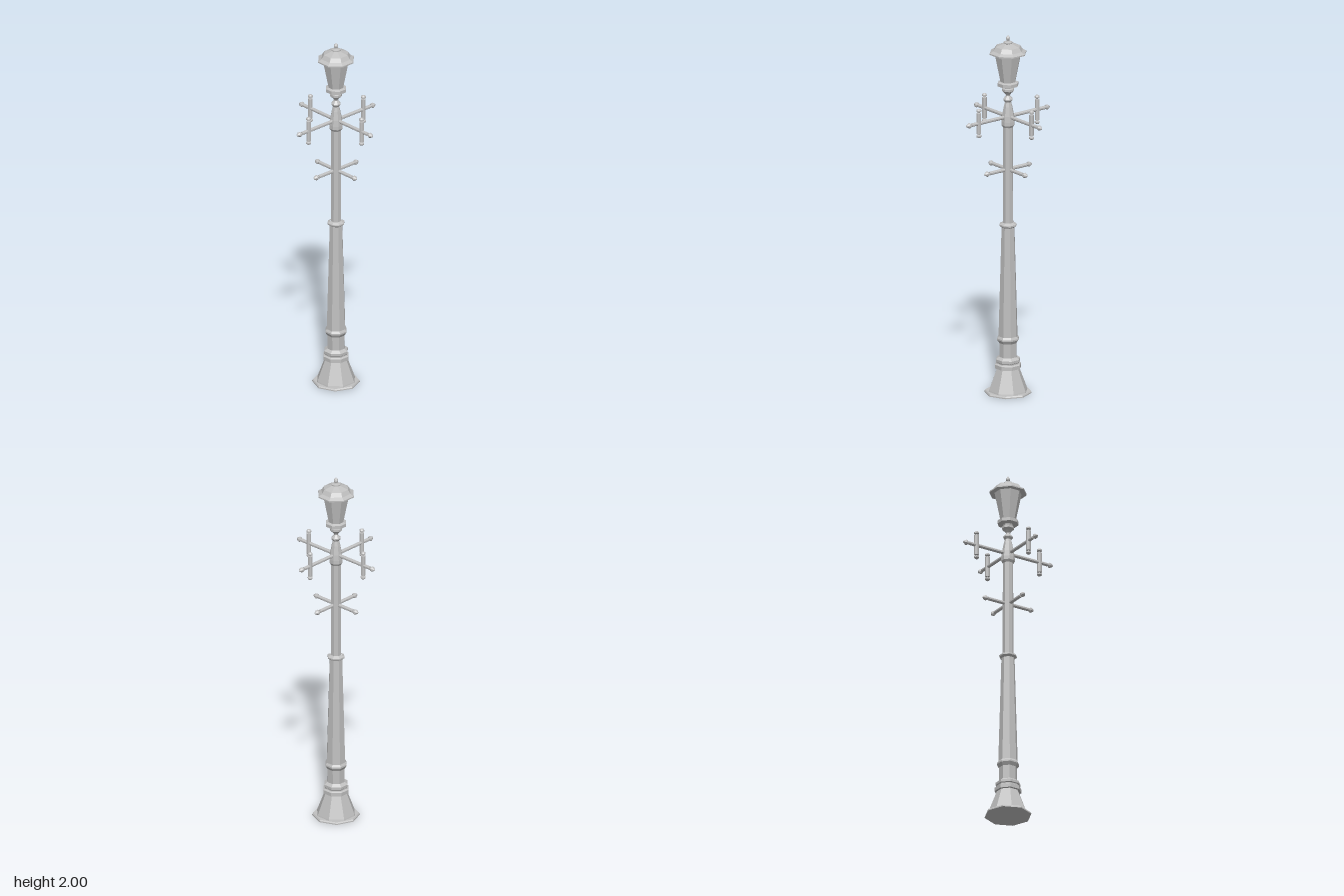
import * as THREE from 'three';

const iron = new THREE.MeshStandardMaterial({ color: 0xc0c0c0, flatShading: true });
iron.name = 'castIron';

// Turned part from [half width, height] pairs
function turned(name, profile, sides = 8, startAngle = Math.PI / 8) {
  const k = 1 / Math.cos(Math.PI / sides);
  const points = profile.map(([r, y]) => new THREE.Vector2(r * k, y));
  const mesh = new THREE.Mesh(new THREE.LatheGeometry(points, sides, startAngle), iron);
  mesh.name = name;
  return mesh;
}

// Rod along +y with a pointed finial on its far end
function pointedArm(name, length, radius) {
  return turned(name, [
    [0, 0], [radius, 0], [radius, length], [0.005, length], [0.005, length + 0.006],
    [0.013, length + 0.011], [0.013, length + 0.018], [0.006, length + 0.031], [0, length + 0.036],
  ]);
}

// Upright bar with a small knob at each end, centred on y = 0
function hangerBar() {
  const half = [
    [0.012, 0.054], [0.012, 0.058], [0.005, 0.059], [0.005, 0.063],
    [0.013, 0.067], [0.013, 0.074], [0.007, 0.08], [0, 0.082],
  ];
  const lower = half.map(([r, y]) => [r, -y]).reverse();
  return turned('hangerBar', [...lower, ...half]);
}

// Four copies of a part round the pole, each built pointing along +x
function fourWays(name, y, build) {
  const ring = new THREE.Group();
  ring.name = name;
  ring.position.y = y;
  for (let i = 0; i < 4; i++) {
    const spoke = build();
    spoke.rotation.y = i * Math.PI / 2;
    ring.add(spoke);
  }
  return ring;
}

function spoke(length, radius, barAt) {
  const group = new THREE.Group();
  group.name = 'spoke';
  const arm = pointedArm('arm', length, radius);
  arm.rotation.z = -Math.PI / 2;
  group.add(arm);
  if (barAt) {
    const bar = hangerBar();
    bar.position.x = barAt;
    group.add(bar);
  }
  return group;
}

export function createModel() {
  const model = new THREE.Group();
  model.name = 'streetLamp';

  // Ground plate, with its corners on the axes
  const c = Math.cos(Math.PI / 8);
  model.add(turned('basePlate', [
    [0, 0], [0.127 * c, 0], [0.127 * c, 0.006], [0.122 * c, 0.012], [0, 0.012],
  ], 8, 0));

  // Flared foot and its collar
  model.add(turned('foot', [[0.1, 0.01], [0.098, 0.018], [0.056, 0.14], [0, 0.14]]));
  model.add(turned('footCollar', [
    [0.05, 0.138], [0.067, 0.14], [0.067, 0.16], [0.058, 0.166],
    [0.058, 0.172], [0.062, 0.176], [0.062, 0.19], [0.046, 0.203],
  ]));

  // Pedestal, tapered shaft and slim pole
  model.add(turned('pedestal', [
    [0.044, 0.195], [0.045, 0.28], [0.056, 0.298], [0.056, 0.306], [0.049, 0.318],
  ]));
  model.add(turned('lowerShaft', [[0.049, 0.31], [0.033, 0.93]]));
  model.add(turned('shaftRing', [
    [0.033, 0.925], [0.044, 0.934], [0.044, 0.942], [0.028, 0.952],
  ]));
  model.add(turned('upperPole', [[0.027, 0.945], [0.026, 1.5]]));
  model.add(turned('poleHead', [
    [0.026, 1.485], [0.034, 1.498], [0.034, 1.518], [0.031, 1.55],
    [0.022, 1.6], [0.016, 1.625], [0.024, 1.637], [0.024, 1.643],
    [0.01, 1.66], [0.012, 1.667], [0.02, 1.678], [0, 1.678],
  ]));

  // Cross arms
  model.add(fourWays('upperArms', 1.543, () => spoke(0.251, 0.009, 0.2)));
  model.add(fourWays('lowerArms', 1.248, () => spoke(0.128, 0.009)));

  // Lantern
  model.add(turned('lanternFoot', [
    [0, 1.676], [0.018, 1.676], [0.031, 1.688], [0.031, 1.7], [0.024, 1.704],
    [0.026, 1.712], [0.053, 1.716], [0.053, 1.734], [0.04, 1.74], [0, 1.74],
  ]));
  model.add(turned('lanternBody', [[0.038, 1.736], [0.069, 1.902]]));
  model.add(turned('lanternRoof', [
    [0, 1.896], [0.094, 1.896], [0.094, 1.903], [0.076, 1.914],
    [0.063, 1.936], [0.02, 1.953], [0, 1.953],
  ]));
  model.add(turned('roofFinial', [
    [0.016, 1.95], [0.023, 1.954], [0.023, 1.96], [0.008, 1.964],
    [0.007, 1.97], [0.011, 1.976], [0.01, 1.984], [0, 2],
  ]));
  return model;
}
